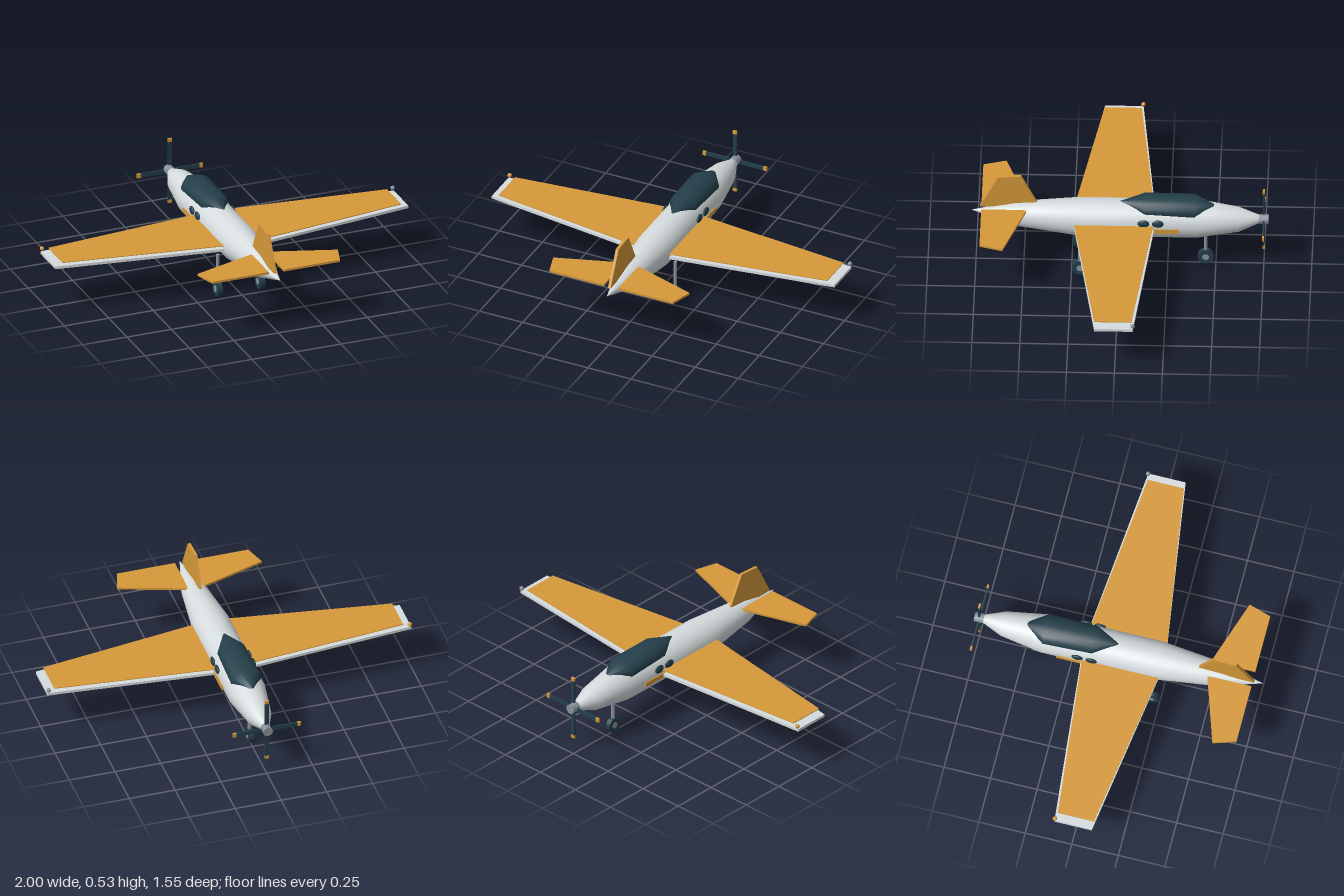
import * as THREE from 'three';

const mat = (name, color, extra = {}) => {
  const m = new THREE.MeshStandardMaterial({ color, ...extra });
  m.name = name;
  return m;
};

// Smooth skin through elliptical cross-sections [z, centreY, radiusX, radiusY]
function loft(sections, sides) {
  const pos = [], idx = [];
  sections.forEach(([z, cy, rx, ry], i) => {
    for (let j = 0; j < sides; j++) {
      const a = (j / sides) * Math.PI * 2;
      pos.push(Math.cos(a) * rx, cy + Math.sin(a) * ry, z);
      if (i === sections.length - 1) continue;
      const p = i * sides + j, q = i * sides + ((j + 1) % sides);
      idx.push(p, q, p + sides, q, q + sides, p + sides);
    }
  });
  const g = new THREE.BufferGeometry();
  g.setAttribute('position', new THREE.Float32BufferAttribute(pos, 3));
  g.setIndex(idx);
  g.computeVertexNormals();
  return g;
}

// Horizontal plate from an [x, z] outline
function slab(points, y, thickness) {
  const shape = new THREE.Shape(points.map(([x, z]) => new THREE.Vector2(x, -z)));
  const g = new THREE.ExtrudeGeometry(shape, { depth: thickness, bevelEnabled: false });
  return g.rotateX(-Math.PI / 2).translate(0, y, 0);
}

export function createModel() {
  const white = mat('lightGrey', 0xd6dcde);
  const gold = mat('gold', 0xd6993a);
  const dark = mat('darkTeal', 0x243f4a);
  const metal = mat('metalGrey', 0x88939a);

  const model = new THREE.Group();
  model.name = 'aeroplane';
  const add = (name, geometry, material, parent = model) => {
    const m = new THREE.Mesh(geometry, material);
    m.name = name;
    parent.add(m);
    return m;
  };

  // Body and canopy, nose towards -z
  add('fuselage', loft([
    [-0.74, 0.285, 0, 0], [-0.74, 0.285, 0.017, 0.017], [-0.62, 0.28, 0.066, 0.066],
    [-0.4, 0.282, 0.102, 0.102], [0.21, 0.282, 0.102, 0.102],
    [0.54, 0.294, 0.064, 0.066], [0.775, 0.313, 0, 0],
  ], 24), white);
  add('canopy', loft([
    [-0.5, 0.36, 0, 0], [-0.485, 0.36, 0.018, 0.014], [-0.39, 0.355, 0.084, 0.06],
    [-0.13, 0.362, 0.076, 0.058], [0.005, 0.382, 0, 0],
  ], 16), dark);

  // Tail fin
  const finShape = new THREE.Shape([[-0.73, 0.335], [-0.43, 0.335], [-0.43, 0.36],
    [-0.515, 0.53], [-0.635, 0.522]].map(([a, b]) => new THREE.Vector2(a, b)));
  const fin = new THREE.ExtrudeGeometry(finShape, { depth: 0.016, bevelEnabled: false });
  add('tailFin', fin.rotateY(Math.PI / 2).translate(-0.016, 0, 0), gold);

  // Parts on both sides
  for (const s of [1, -1]) {
    const side = s > 0 ? 'left' : 'right';
    const flip = (pts) => pts.map(([x, z]) => [x * s, z]);
    add(side + 'Wing', slab(flip([[0.03, -0.187], [0.993, -0.095], [0.993, 0.106], [0.03, 0.245]]), 0.263, 0.015), white);
    add(side + 'WingPanel', slab(flip([[0.08, -0.177], [0.952, -0.087], [0.952, 0.107], [0.08, 0.238]]), 0.292, 0.004), gold);
    add(side + 'Tailplane', slab(flip([[0.042, 0.485], [0.395, 0.602], [0.358, 0.722], [0.042, 0.722]]), 0.334, 0.012), gold);
    add(side + 'WingLight', new THREE.SphereGeometry(0.012, 12, 8), s > 0 ? metal : gold)
      .position.set(s * 0.986, 0.294, -0.094);
    add(side + 'Stripe', new THREE.BoxGeometry(0.012, 0.025, 0.47), gold)
      .position.set(s * 0.102, 0.268, -0.075);
    for (const z of [-0.125, -0.2]) {
      const w = add(side + 'Window', new THREE.SphereGeometry(1, 16, 10), dark);
      w.scale.set(0.01, 0.022, 0.031);
      w.position.set(s * 0.099, 0.311, z);
    }
  }

  // Landing gear: two main legs behind, one under the nose
  for (const [name, x, z] of [['leftGear', 0.119, 0.205], ['rightGear', -0.119, 0.205], ['noseGear', 0, -0.447]]) {
    const gear = new THREE.Group();
    gear.name = name;
    gear.position.set(x, 0, z);
    model.add(gear);
    add('strut', new THREE.CylinderGeometry(0.01, 0.01, 0.19, 12), metal, gear).position.y = 0.142;
    const wheel = add('wheel', new THREE.CylinderGeometry(0.042, 0.042, 0.027, 20), dark, gear);
    const hub = add('wheelHub', new THREE.CylinderGeometry(0.018, 0.018, 0.031, 14), metal, gear);
    for (const m of [wheel, hub]) {
      m.rotation.z = Math.PI / 2;
      m.position.y = 0.043;
    }
  }

  // Propeller
  const prop = new THREE.Group();
  prop.name = 'propeller';
  prop.position.set(0, 0.284, -0.75);
  model.add(prop);
  add('propellerHub', new THREE.CylinderGeometry(0.026, 0.026, 0.05, 12), metal, prop).rotation.x = Math.PI / 2;
  for (let i = 0; i < 4; i++) {
    const blade = new THREE.Group();
    blade.name = 'blade';
    blade.rotation.z = (i * Math.PI) / 2;
    prop.add(blade);
    add('bladeBody', new THREE.BoxGeometry(0.022, 0.132, 0.009), dark, blade).position.y = 0.1;
    add('bladeTip', new THREE.BoxGeometry(0.023, 0.019, 0.011), gold, blade).position.y = 0.175;
  }
  return model;
}
